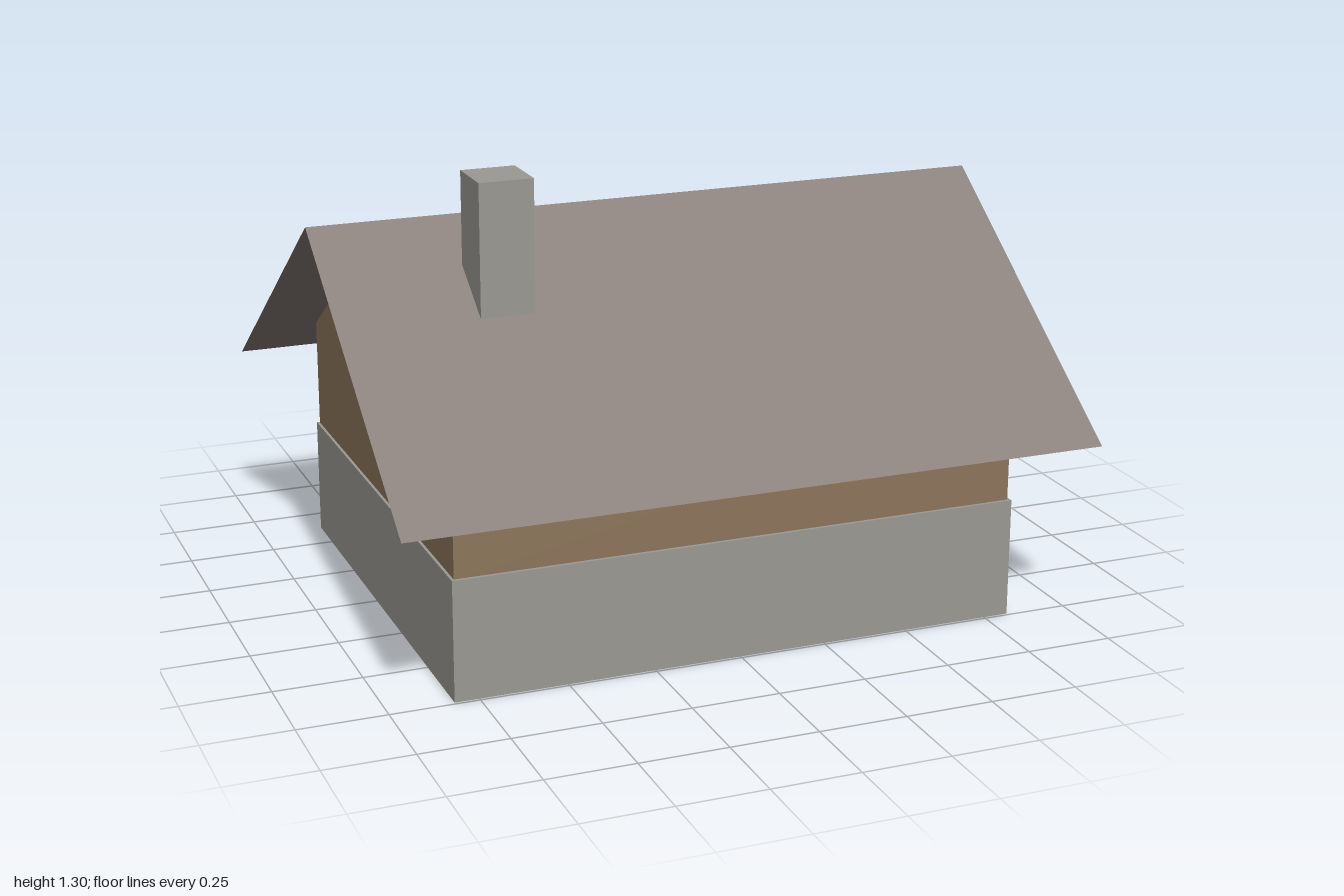
import * as THREE from 'three';

const mat = (name, color) => Object.assign(new THREE.MeshStandardMaterial({ color }), { name });

export function createModel() {
  const house = new THREE.Group();
  house.name = 'house';
  const stone = mat('stone grey', 0x9a9993);
  const wood = mat('wall brown', 0x8d765b);
  const trim = mat('trim brown', 0x85694d);
  const doorWood = mat('door brown', 0x907254);
  const glass = mat('pane blue', 0x9cb1be);
  const green = mat('shutter green', 0x668070);
  const metal = mat('knob dark', 0x4a3f35);
  const roofing = mat('roof taupe', 0x857b76);
  roofing.side = THREE.DoubleSide;

  // Box given by its low and high corners
  const box = (name, material, [x0, y0, z0], [x1, y1, z1], parent = house) => {
    const mesh = new THREE.Mesh(new THREE.BoxGeometry(x1 - x0, y1 - y0, z1 - z0), material);
    mesh.position.set((x0 + x1) / 2, (y0 + y1) / 2, (z0 + z1) / 2);
    mesh.name = name;
    parent.add(mesh);
    return mesh;
  };

  // Rectangular frame lying in the xy plane, from z = 0 to depth
  const frame = (name, material, w, h, border, depth, parent) => {
    const rect = (S, a, b) => new S([[-a, -b], [a, -b], [a, b], [-a, b]].map(p => new THREE.Vector2(...p)));
    const shape = rect(THREE.Shape, w / 2, h / 2);
    shape.holes.push(rect(THREE.Path, w / 2 - border, h / 2 - border));
    const mesh = new THREE.Mesh(new THREE.ExtrudeGeometry(shape, { depth, bevelEnabled: false }), material);
    mesh.name = name;
    parent.add(mesh);
    return mesh;
  };

  // Foundation, floor and doorstep
  box('foundation', stone, [-0.82, 0.002, -0.623], [0.82, 0.345, 0.746]);
  box('floor', wood, [-0.705, 0, -0.53], [0.705, 0.01, 0.65]);
  box('doorstep', stone, [-0.25, 0, -0.918], [0.25, 0.03, -0.655]);

  // Walls with gables: profile in (z, y), extruded along x
  const profile = new THREE.Shape([[-0.736, 0.34], [0.618, 0.34], [0.618, 0.662], [-0.058, 1.103], [-0.736, 0.661]]
    .map(p => new THREE.Vector2(...p)));
  const wallGeo = new THREE.ExtrudeGeometry(profile, { depth: 1.624, bevelEnabled: false });
  wallGeo.translate(0, 0, -0.812).rotateY(Math.PI / 2);
  const walls = new THREE.Mesh(wallGeo, wood);
  walls.name = 'walls';
  house.add(walls);

  // Roof: two thin sheets meeting at the ridge
  const ridge = [0.052, 1.139];
  for (const [name, z] of [['frontRoof', 0.914], ['backRoof', -0.81]]) {
    const eave = 0.537, dz = z - ridge[0], dy = eave - ridge[1];
    const sheet = new THREE.PlaneGeometry(2, Math.hypot(dz, dy));
    sheet.rotateX(-Math.PI / 2).rotateX(dz > 0 ? Math.atan2(-dy, dz) : -Math.atan2(-dy, -dz));
    const mesh = new THREE.Mesh(sheet, roofing);
    mesh.position.set(0, (eave + ridge[1]) / 2, (z + ridge[0]) / 2);
    mesh.name = name;
    house.add(mesh);
  }

  box('chimney', stone, [-0.605, 0.8, 0.203], [-0.45, 1.297, 0.362]);

  // Sash window facing local +z, with optional shutters
  const makeWindow = (name, x, z, turn, shutters) => {
    const g = new THREE.Group();
    g.name = name;
    frame('windowFrame', trim, 0.183, 0.17, 0.012, 0.013, g);
    frame('sash', wood, 0.16, 0.147, 0.007, 0.009, g);
    box('pane', glass, [-0.08, -0.073, 0.001], [0.08, 0.073, 0.006], g);
    box('rail', trim, [-0.08, -0.006, 0], [0.08, 0.008, 0.017], g);
    if (shutters) for (const s of [-1, 1]) {
      box('shutter', green, [s * 0.14 - 0.047, -0.091, 0], [s * 0.14 + 0.047, 0.089, 0.02], g);
    }
    g.position.set(x, 0.437, z);
    g.rotation.y = turn;
    house.add(g);
  };
  for (const z of [0.333, -0.213]) makeWindow('sideWindow', 0.826, z, Math.PI / 2, false);
  for (const x of [0.497, -0.497]) makeWindow('backWindow', x, -0.633, Math.PI, true);

  // Back door with jambs, lintel and knob
  box('door', doorWood, [-0.121, 0.003, -0.65], [0.121, 0.445, -0.62]);
  for (const s of [-1, 1]) {
    box('doorJamb', trim, [s * 0.127 - 0.006, 0.003, -0.658], [s * 0.127 + 0.006, 0.455, -0.62]);
  }
  box('doorLintel', trim, [-0.121, 0.445, -0.658], [0.121, 0.455, -0.62]);
  const knob = new THREE.Mesh(new THREE.SphereGeometry(0.009, 12, 8), metal);
  knob.position.set(0.085, 0.22, -0.655);
  knob.name = 'doorKnob';
  house.add(knob);

  return house;
}
